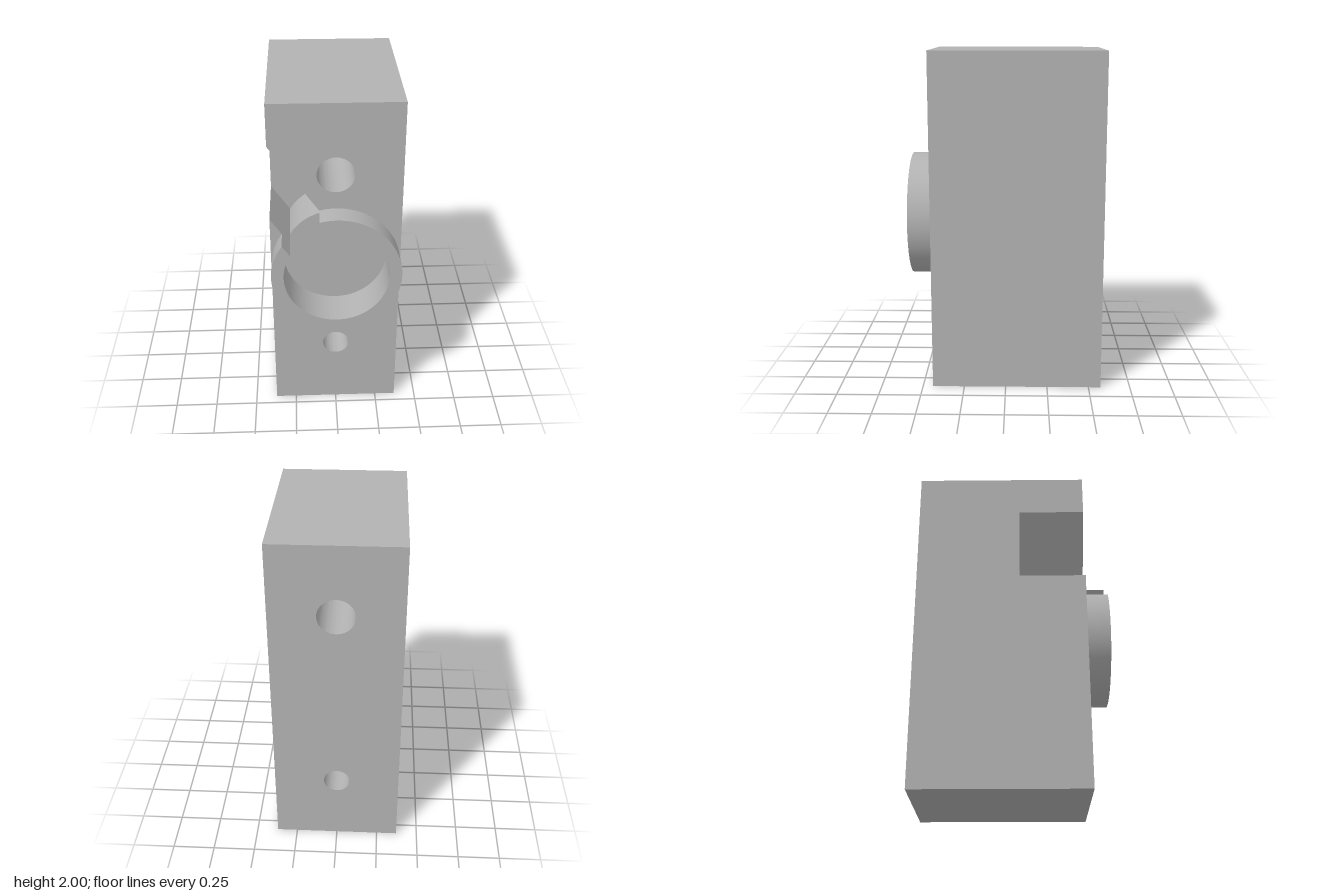
import * as THREE from 'three';
import { toCreasedNormals } from 'three/addons/utils/BufferGeometryUtils.js';

const W = 0.372, H = 2, CY = 1;            // block half width, height, socket centre
const R_IN = 0.3, R_OUT = 0.371;           // collar radii
const SLOT_DIR = THREE.MathUtils.degToRad(125), SLOT_HALF = 0.129;
const Z_BACK = -0.573, Z_SLOT = 0.045, Z_POCKET = 0.34, Z_FACE = 0.44, Z_RIM = 0.573;

// angle from the slot axis at which its walls meet a circle of radius r
const slotAngle = r => Math.asin(SLOT_HALF / r);

// height where a slot wall reaches the side of the block
function slotEdgeY(side) {
  const nx = Math.sin(SLOT_DIR), ny = -Math.cos(SLOT_DIR);
  const t = (-W - side * SLOT_HALF * nx) / Math.cos(SLOT_DIR);
  return CY + t * Math.sin(SLOT_DIR) + side * SLOT_HALF * ny;
}

// block outline with the two through holes; arc: null, 'boss' or 'pocket'
function blockShape(arc) {
  const s = new THREE.Shape();
  s.moveTo(-W, 0);
  s.lineTo(W, 0);
  s.lineTo(W, H);
  s.lineTo(-W, H);
  if (arc) {
    const a = slotAngle(R_IN);
    s.lineTo(-W, slotEdgeY(1));
    s.absarc(0, CY, R_IN, SLOT_DIR - a, SLOT_DIR + a, arc === 'pocket');
    s.lineTo(-W, slotEdgeY(-1));
  }
  s.closePath();
  for (const [y, r] of [[1.58, 0.106], [0.427, 0.077]]) {
    s.holes.push(new THREE.Path().absarc(0, y, r, 0, Math.PI * 2, true));
  }
  return s;
}

// collar outline, open where the slot passes
function collarShape() {
  const a = slotAngle(R_OUT), b = slotAngle(R_IN);
  const s = new THREE.Shape();
  s.absarc(0, CY, R_OUT, SLOT_DIR + a, SLOT_DIR - a + Math.PI * 2, false);
  s.absarc(0, CY, R_IN, SLOT_DIR - b + Math.PI * 2, SLOT_DIR + b, true);
  s.closePath();
  return s;
}

export function createModel() {
  const group = new THREE.Group();
  group.name = 'mountingBlock';
  const grey = new THREE.MeshStandardMaterial({ color: 0xb2b2b2 });
  grey.name = 'grey';

  const addLayer = (name, shape, z0, z1) => {
    const geo = new THREE.ExtrudeGeometry(shape, { depth: z1 - z0, bevelEnabled: false, curveSegments: 64 });
    geo.translate(0, 0, z0);
    const mesh = new THREE.Mesh(toCreasedNormals(geo, 0.5), grey);
    mesh.name = name;
    group.add(mesh);
  };

  addLayer('rearBlock', blockShape(null), Z_BACK, Z_SLOT);
  addLayer('slottedBlock', blockShape('boss'), Z_SLOT, Z_POCKET);     // solid under the pocket
  addLayer('pocketBlock', blockShape('pocket'), Z_POCKET, Z_FACE);    // slot opens into the round pocket
  addLayer('collar', collarShape(), Z_FACE, Z_RIM);
  return group;
}
